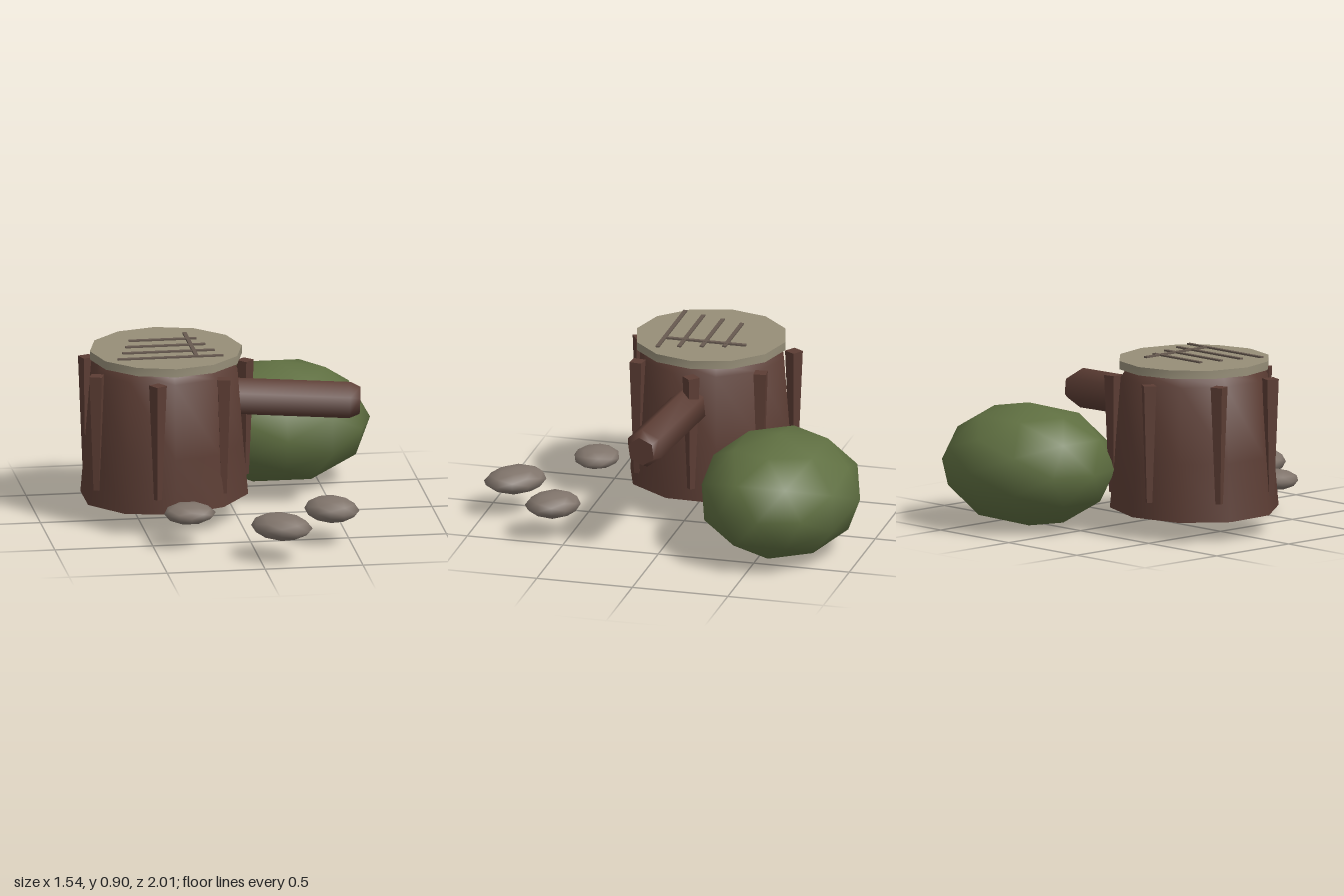
import * as THREE from 'three';
import { toCreasedNormals } from 'three/addons/utils/BufferGeometryUtils.js';

const material = (name, color) => {
  const m = new THREE.MeshStandardMaterial({ color });
  m.name = name;
  return m;
};

// Revolved profile whose sides are smooth and whose end faces are sharp
const turned = (points, sides, crease, start = 0) => toCreasedNormals(
  new THREE.LatheGeometry(points.map(([r, y]) => new THREE.Vector2(r, y)), sides, start), crease);

export function createModel() {
  const group = new THREE.Group();
  const bark = material('bark', 0x5c3d34);
  const cutWood = material('cut wood', 0x968e78);
  const groove = material('groove', 0x675a50);
  const leaf = material('leaf', 0x5f6f41);
  const stone = material('stone', 0x80746b);

  const add = (name, geometry, mat, x, y, z) => {
    const mesh = new THREE.Mesh(geometry, mat);
    mesh.name = name;
    mesh.position.set(x, y, z);
    group.add(mesh);
    return mesh;
  };
  const cx = -0.36, cz = -0.05;

  // Stump, flaring to the ground with a slightly sloping base
  let trunk = new THREE.LatheGeometry(
    [[0, 0.115], [0.43, 0.12], [0.405, 0.4], [0.375, 0.79], [0.345, 0.835], [0, 0.835]]
      .map(([r, y]) => new THREE.Vector2(r, y)), 10);
  const p = trunk.attributes.position;
  for (let i = 0; i < p.count; i++) {
    if (p.getY(i) < 0.2) p.setY(i, p.getY(i) + 0.03 * p.getX(i) + 0.012 * p.getZ(i));
  }
  add('trunk', toCreasedNormals(trunk, 0.8), bark, cx, 0, cz);

  // Seven bark ridges sinking into the flare
  for (let i = 0; i < 7; i++) {
    const a = (i / 7) * Math.PI * 2;
    const ridge = new THREE.CylinderGeometry(0.045, 0.02, 0.6, 4);
    add('barkRidge', toCreasedNormals(ridge, 0.5), bark,
      cx + 0.412 * Math.cos(a), 0.5, cz + 0.412 * Math.sin(a)).rotation.y = -a;
  }

  // Cut face on top
  add('stumpTop', toCreasedNormals(new THREE.CylinderGeometry(0.388, 0.388, 0.043, 12), 0.8),
    cutWood, -0.353, 0.858, -0.045);

  // Thin grooves: four rows and one crossing line
  const rows = [[-0.525, -0.18, -0.16], [-0.56, -0.15, -0.05], [-0.59, -0.12, 0.06], [-0.63, -0.09, 0.165]];
  for (const [x0, x1, z] of rows) {
    add('grooveRow', new THREE.BoxGeometry(x1 - x0, 0.008, 0.02), groove, (x0 + x1) / 2, 0.892, z);
  }
  add('grooveCross', new THREE.BoxGeometry(0.02, 0.009, 0.425), groove, -0.226, 0.8925, -0.05);

  // Broken branch with a bevelled six-sided end
  const branch = add('branch',
    turned([[0, 0], [0.1, 0], [0.1, 0.68], [0.075, 0.73], [0, 0.73]], 6, 1.1, Math.PI / 2),
    bark, -0.1, 0.625, -0.035);
  branch.quaternion.setFromUnitVectors(new THREE.Vector3(0, 1, 0),
    new THREE.Vector3(1, -0.045, 0.127).normalize());

  // Bush
  add('bush', new THREE.IcosahedronGeometry(1, 1), leaf, 0.29, 0.318, -0.585).scale.set(0.48, 0.316, 0.415);

  // Flat stones, each pulled out a little at one end
  const stones = [
    [-0.322, 0.18, 0.545, 0.127, 0.052, 0.117, 0],
    [0.4, 0.18, 0.575, 0.142, 0.065, 0.123, -Math.PI / 4],
    [0.103, 0.18, 0.852, 0.163, 0.066, 0.127, -Math.PI / 4],
  ];
  for (const [x, y, z, a, h, b, yaw] of stones) {
    const g = new THREE.IcosahedronGeometry(1, 1);
    const v = g.attributes.position;
    for (let i = 0; i < v.count; i++) {
      if (v.getX(i) > 0.82) v.setX(i, v.getX(i) * 1.08);
    }
    g.scale(a, h, b);
    add('stone', g, stone, x, y, z).rotation.y = yaw;
  }
  return group;
}
